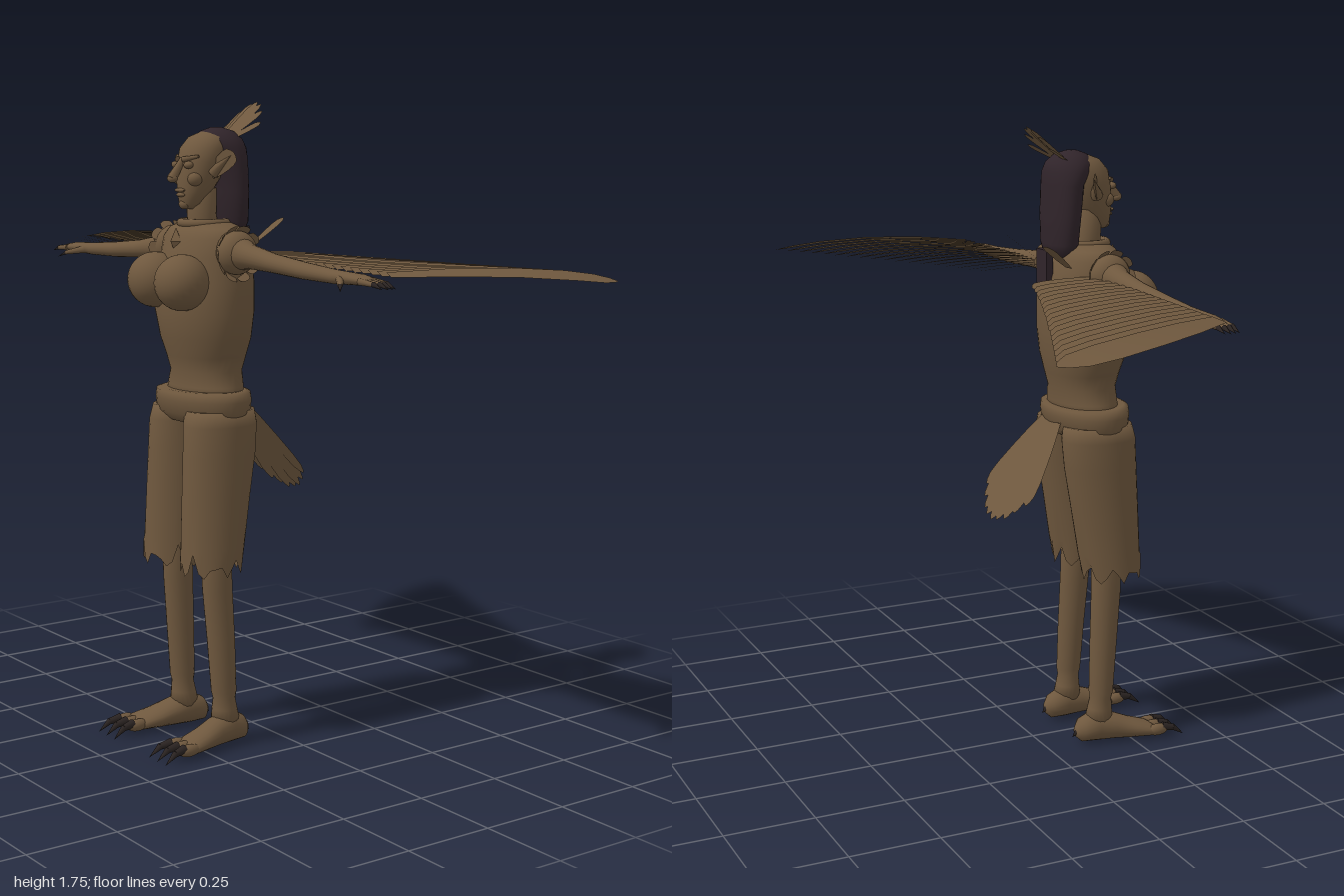
import * as THREE from 'three';

const V = (x, y, z) => new THREE.Vector3(x, y, z);
const brown = new THREE.MeshStandardMaterial({ color: 0x6f583e, side: THREE.DoubleSide });
brown.name = 'brown skin and plumage';
const hairMat = new THREE.MeshStandardMaterial({ color: 0x30242a });
hairMat.name = 'dark hair';
const clawMat = new THREE.MeshStandardMaterial({ color: 0x2a2321 });
clawMat.name = 'dark claw';

// Skin over oval rings [height, cx, cz, rx, rz], lowest first; hem > 0 leaves the base open and ragged
function loft(rings, n = 28, hem = 0) {
  const pos = [], idx = [];
  rings.forEach(([y, cx, cz, rx, rz], i) => {
    for (let j = 0; j < n; j++) {
      const a = (j / n) * Math.PI * 2;
      const rag = i === 0 ? hem * [0, 0.5, 1, 0.4][j % 4] * (0.7 + 0.3 * Math.sin(j * 2.3)) : 0;
      pos.push(cx + rx * Math.cos(a), y + rag, cz + rz * Math.sin(a));
    }
  });
  for (let i = 0; i < rings.length - 1; i++) {
    for (let j = 0; j < n; j++) {
      const a = i * n + j, b = i * n + ((j + 1) % n);
      idx.push(a, a + n, b, b, a + n, b + n);
    }
  }
  const cap = (i, top) => {
    const c = pos.length / 3;
    pos.push(rings[i][1], rings[i][0], rings[i][2]);
    for (let j = 0; j < n; j++) {
      const a = i * n + j, b = i * n + ((j + 1) % n);
      idx.push(c, top ? b : a, top ? a : b);
    }
  };
  if (!hem) cap(0, false);
  cap(rings.length - 1, true);
  return build(pos, idx);
}

function build(pos, idx) {
  const g = new THREE.BufferGeometry();
  g.setAttribute('position', new THREE.Float32BufferAttribute(pos, 3));
  g.setIndex(idx);
  g.computeVertexNormals();
  return g;
}

// Flat feather with a pointed round tip, bowed sideways and rolled about its shaft
function feather(base, tip, width, normal, roll = 0, bow = V(0, 0, 0)) {
  const dir = tip.clone().sub(base).normalize();
  const side = dir.clone().cross(normal).normalize().applyAxisAngle(dir, roll);
  const rows = [[0, 0.5], [0.25, 0.8], [0.5, 0.95], [0.75, 1], [0.9, 0.85], [0.97, 0.45], [1, 0.08]];
  const pos = [], idx = [];
  rows.forEach(([t, w], i) => {
    const c = base.clone().lerp(tip, t).addScaledVector(bow, 4 * t * (1 - t));
    for (const s of [-0.5, 0.5]) pos.push(...c.clone().addScaledVector(side, s * w * width).toArray());
    if (i) { const a = 2 * i - 2; idx.push(a, a + 1, a + 2, a + 1, a + 3, a + 2); }
  });
  return build(pos, idx);
}

function spike(a, b, r, tipR = 0) {
  const d = b.clone().sub(a);
  const g = new THREE.CylinderGeometry(tipR, r, d.length(), 10);
  g.applyQuaternion(new THREE.Quaternion().setFromUnitVectors(V(0, 1, 0), d.clone().normalize()));
  return g.translate(...a.clone().lerp(b, 0.5).toArray());
}

const ball = (x, y, z, rx, ry = rx, rz = rx) =>
  new THREE.SphereGeometry(1, 24, 16).scale(rx, ry, rz).translate(x, y, z);

function add(group, name, geo, mat = brown) {
  const m = new THREE.Mesh(geo, mat);
  m.name = name;
  group.add(m);
}

function mirrored(group, name) {
  const out = new THREE.Group();
  out.name = name;
  for (const m of group.children) {
    const g = m.geometry.clone().scale(-1, 1, 1), a = g.index.array;
    for (let i = 0; i < a.length; i += 3) [a[i + 1], a[i + 2]] = [a[i + 2], a[i + 1]];
    add(out, m.name, g, m.material);
  }
  return out;
}

function leftSide() {
  const g = new THREE.Group();
  g.name = 'leftSide';
  const up = V(0, 1, 0);
  add(g, 'breast', ball(0.066, 1.285, 0.27, 0.075));

  // Arm runs along x: the loft is built upright, then laid over
  add(g, 'arm', loft([
    [0.13, -1.365, 0.155, 0.055, 0.05], [0.17, -1.365, 0.155, 0.045, 0.045], [0.22, -1.358, 0.155, 0.032, 0.032],
    [0.32, -1.348, 0.155, 0.025, 0.027], [0.45, -1.338, 0.155, 0.022, 0.026], [0.58, -1.332, 0.155, 0.018, 0.021],
    [0.63, -1.332, 0.155, 0.016, 0.022], [0.68, -1.332, 0.155, 0.014, 0.026], [0.72, -1.33, 0.155, 0.01, 0.024],
  ], 20).rotateZ(-Math.PI / 2));
  add(g, 'shoulder', ball(0.155, 1.365, 0.155, 0.045, 0.058, 0.058));
  for (let i = 0; i < 10; i++) {
    const a = (i / 10) * Math.PI * 2 + 0.3, c = Math.cos(a), s = Math.sin(a);
    add(g, 'shoulderTuft', feather(V(0.13, 1.362 + 0.04 * c, 0.155 + 0.04 * s),
      V(0.17, 1.362 + 0.075 * c, 0.155 + 0.07 * s), 0.035, V(0, c, s)));
  }

  // Fingers, thumb and claws
  for (let i = 0; i < 4; i++) {
    const z = 0.135 + i * 0.0135, x = 0.755 + (i % 3 ? 0.006 : 0);
    add(g, 'finger', spike(V(0.7, 1.33, z), V(x, 1.326, z), 0.009, 0.006));
    add(g, 'fingerClaw', spike(V(x - 0.003, 1.327, z), V(x + 0.033, 1.316, z), 0.007), clawMat);
  }
  add(g, 'thumb', spike(V(0.61, 1.33, 0.165), V(0.662, 1.318, 0.205), 0.012, 0.006));
  add(g, 'thumbClaw', spike(V(0.66, 1.319, 0.203), V(0.682, 1.305, 0.22), 0.006), clawMat);

  // Wing: overlapping feathers fanning out from the arm
  const count = 18;
  for (let i = 0; i < count; i++) {
    const t = i / (count - 1);
    add(g, 'wingFeather', feather(
      V(0.16 + 0.6 * t, 1.36 - 0.012 * t, 0.135),
      V(0.165 + 0.815 * t, 1.35 - 0.028 * t, -0.08 - 0.33 * Math.pow(t, 1.1)),
      0.078 + 0.012 * t, up, 0.2, V(0.045 * t, 0.016 * t, 0)));
  }
  add(g, 'backFeather', feather(V(0.1, 1.385, 0.06), V(0.12, 1.45, -0.02), 0.05, up));

  // Ragged trouser leg, shin and foot
  add(g, 'trouserLeg', loft([
    [0.495, 0.093, 0.2, 0.081, 0.085], [0.57, 0.092, 0.193, 0.081, 0.089], [0.7, 0.089, 0.18, 0.079, 0.098],
    [0.82, 0.087, 0.167, 0.079, 0.106], [0.9, 0.084, 0.162, 0.08, 0.108], [0.94, 0.08, 0.16, 0.078, 0.1],
  ], 32, 0.065));
  add(g, 'shin', loft([
    [0.07, 0.103, 0.16, 0.038, 0.042], [0.11, 0.103, 0.163, 0.036, 0.035], [0.14, 0.104, 0.165, 0.031, 0.031],
    [0.16, 0.104, 0.166, 0.035, 0.035], [0.3, 0.102, 0.173, 0.037, 0.039], [0.45, 0.098, 0.182, 0.038, 0.043],
    [0.65, 0.094, 0.187, 0.037, 0.045],
  ], 20));
  add(g, 'foot', loft([
    [0.088, 0.1, -0.045, 0.012, 0.015], [0.105, 0.1, -0.048, 0.034, 0.034], [0.15, 0.103, -0.058, 0.041, 0.046],
    [0.2, 0.11, -0.051, 0.043, 0.039], [0.25, 0.12, -0.041, 0.046, 0.029], [0.3, 0.13, -0.034, 0.048, 0.021],
    [0.315, 0.132, -0.032, 0.04, 0.014],
  ], 20).rotateX(Math.PI / 2));
  for (let i = 0; i < 3; i++) {
    const x = 0.099 + i * 0.033, out = (i - 1) * 0.008;
    add(g, 'toe', ball(x, 0.035, 0.32, 0.016, 0.017, 0.034));
    add(g, 'toeClaw', spike(V(x, 0.042, 0.335), V(x + out * 0.6, 0.036, 0.368), 0.013, 0.009), clawMat);
    add(g, 'toeClawTip', spike(V(x + out * 0.6, 0.037, 0.366), V(x + out, 0.01, 0.402), 0.0095), clawMat);
  }
  add(g, 'heelClaw', spike(V(0.1, 0.05, 0.1), V(0.1, 0.03, 0.078), 0.012), clawMat);

  // Ear, eye and brow
  add(g, 'ear', feather(V(0.055, 1.565, 0.17), V(0.105, 1.625, 0.13), 0.05, V(0.6, 0, 0.8)));
  add(g, 'earBack', spike(V(0.055, 1.57, 0.165), V(0.1, 1.618, 0.135), 0.018));
  add(g, 'eye', ball(0.03, 1.592, 0.224, 0.015, 0.01, 0.012));
  add(g, 'brow', spike(V(0.012, 1.606, 0.23), V(0.052, 1.615, 0.206), 0.008, 0.004));
  add(g, 'cheek', ball(0.035, 1.555, 0.205, 0.02, 0.02, 0.022));
  return g;
}

export function createModel() {
  const model = new THREE.Group();
  model.name = 'wingedWoman';

  // Torso and hips
  add(model, 'torso', loft([
    [0.95, 0, 0.155, 0.14, 0.09], [1.0, 0, 0.152, 0.127, 0.09], [1.04, 0, 0.15, 0.112, 0.09],
    [1.08, 0, 0.15, 0.125, 0.1], [1.13, 0, 0.152, 0.145, 0.113], [1.2, 0, 0.155, 0.157, 0.123],
    [1.28, 0, 0.152, 0.156, 0.12], [1.35, 0, 0.15, 0.15, 0.11], [1.4, 0, 0.15, 0.148, 0.095],
    [1.425, 0, 0.15, 0.125, 0.08], [1.44, 0, 0.15, 0.07, 0.06],
  ], 36));
  add(model, 'trouserSeat', loft([
    [0.905, 0, 0.16, 0.145, 0.085], [0.93, 0, 0.16, 0.163, 0.108], [0.965, 0, 0.16, 0.164, 0.113],
    [0.985, 0, 0.16, 0.158, 0.112], [0.99, 0, 0.16, 0.14, 0.1],
  ], 36));
  add(model, 'collar', new THREE.TorusGeometry(0.062, 0.012, 10, 32).rotateX(Math.PI / 2).translate(0, 1.437, 0.155));
  add(model, 'chestKnot', new THREE.OctahedronGeometry(0.03, 0).scale(0.9, 1.2, 0.6).translate(0, 1.39, 0.245));

  // Head and face
  add(model, 'neck', loft([
    [1.4, 0, 0.155, 0.05, 0.048], [1.45, 0, 0.162, 0.04, 0.04], [1.53, 0, 0.165, 0.04, 0.042],
  ], 20));
  add(model, 'head', loft([
    [1.475, 0, 0.205, 0.015, 0.014], [1.49, 0, 0.197, 0.032, 0.032], [1.52, 0, 0.185, 0.046, 0.047],
    [1.56, 0, 0.172, 0.06, 0.06], [1.6, 0, 0.163, 0.066, 0.064], [1.635, 0, 0.155, 0.067, 0.064],
    [1.665, 0, 0.14, 0.052, 0.054], [1.682, 0, 0.13, 0.02, 0.02],
  ], 28));
  add(model, 'nose', spike(V(0, 1.607, 0.222), V(0, 1.555, 0.258), 0.008, 0.014));
  add(model, 'noseTip', ball(0, 1.556, 0.255, 0.015, 0.011, 0.014));
  add(model, 'upperLip', ball(0, 1.525, 0.232, 0.021, 0.006, 0.01));
  add(model, 'lowerLip', ball(0, 1.513, 0.229, 0.018, 0.006, 0.01));
  add(model, 'chin', ball(0, 1.488, 0.218, 0.018, 0.014, 0.014));

  // Long hair with a loose end on the back
  add(model, 'hair', loft([
    [1.405, 0, 0.075, 0.055, 0.03], [1.44, 0, 0.08, 0.08, 0.043], [1.52, 0, 0.083, 0.085, 0.048],
    [1.6, 0, 0.088, 0.082, 0.052], [1.635, 0, 0.1, 0.078, 0.064], [1.66, 0, 0.108, 0.066, 0.063],
    [1.68, 0, 0.113, 0.045, 0.045], [1.69, 0, 0.115, 0.015, 0.015],
  ], 28), hairMat);
  add(model, 'hairEnd', new THREE.BoxGeometry(0.06, 0.1, 0.02).translate(0, 1.375, 0.036), hairMat);

  // Head crest
  for (let k = -3; k <= 3; k++) {
    add(model, 'crestFeather', feather(V(0.01 * k, 1.655, 0.1),
      V(0.022 * k, 1.757 - 0.006 * k * k, -0.02 + 0.004 * k * k), 0.026, V(0, 0.75, 0.65), 0.15));
  }

  // Tail fan
  for (let i = 0; i < 9; i++) {
    const k = (i - 4) / 4, reach = 1 - 0.25 * k * k, lift = (i % 2) * 0.003;
    add(model, 'tailFeather', feather(V(0.045 * k, 0.945 + lift, 0.055),
      V(0.13 * k, 0.945 - 0.265 * reach + lift, 0.055 - 0.185 * reach), 0.06, V(0, 0.57, -0.82)));
  }

  const left = leftSide();
  model.add(left, mirrored(left, 'rightSide'));
  return model;
}
